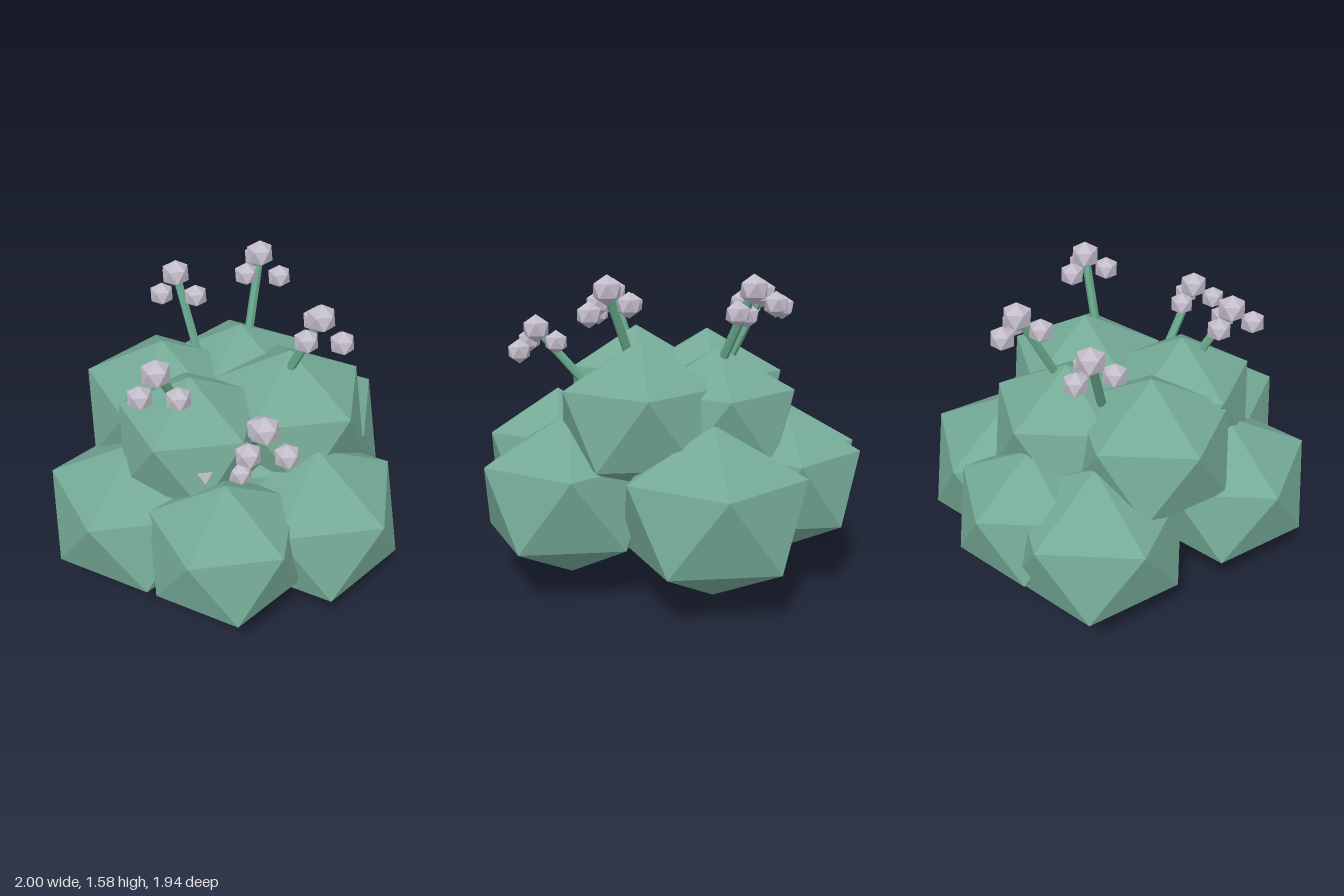
import * as THREE from 'three';
import { ConvexGeometry } from 'three/addons/geometries/ConvexGeometry.js';

// Unit icosahedron standing on one corner, with flat faces
function icosahedron() {
  const points = [new THREE.Vector3(0, 1, 0), new THREE.Vector3(0, -1, 0)];
  const h = 1 / Math.sqrt(5), ring = 2 / Math.sqrt(5);
  for (let i = 0; i < 10; i++) {
    const a = (i * Math.PI) / 5;
    points.push(new THREE.Vector3(ring * Math.cos(a), i % 2 ? -h : h, ring * Math.sin(a)));
  }
  return new ConvexGeometry(points);
}

export function createModel() {
  const leaf = new THREE.MeshStandardMaterial({ name: 'leaf green', color: 0x74a996, flatShading: true });
  const stalk = new THREE.MeshStandardMaterial({ name: 'stem green', color: 0x65a488, flatShading: true });
  const petal = new THREE.MeshStandardMaterial({ name: 'pale lilac', color: 0xc3bdca, flatShading: true });

  const model = new THREE.Group();
  model.name = 'floweringBush';
  const ball = icosahedron();

  function addBall(parent, name, material, x, y, z, r, ry = r) {
    const mesh = new THREE.Mesh(ball, material);
    mesh.name = name;
    mesh.position.set(x, y, z);
    mesh.scale.set(r, ry, r);
    parent.add(mesh);
  }

  // Foliage: x, y, z, horizontal radius, vertical radius
  const foliage = new THREE.Group();
  foliage.name = 'foliage';
  model.add(foliage);
  const core = [[-0.02, 0.53, 0.02, 0.6, 0.52]];
  const lower = [
    [0.567, 0.49, -0.037, 0.483, 0.416],
    [0.45, 0.54, 0.475, 0.418, 0.38],
    [-0.11, 0.49, 0.557, 0.483, 0.41],
    [-0.567, 0.488, -0.07, 0.483, 0.41],
    [-0.457, 0.54, -0.397, 0.418, 0.37],
    [0.02, 0.474, -0.545, 0.5, 0.427],
  ];
  const upper = [
    [0.24, 0.872, -0.18, 0.448, 0.393],
    [-0.297, 0.85, 0.178, 0.448, 0.39],
    [0.055, 0.905, 0.32, 0.4, 0.355],
    [-0.157, 0.85, -0.237, 0.425, 0.365],
  ];
  for (const [name, list] of Object.entries({ coreFoliage: core, lowerFoliage: lower, upperFoliage: upper })) {
    for (const b of list) addBall(foliage, name, leaf, ...b);
  }

  // Flowers: stems fan out from the heart of the bush to these tips
  const base = new THREE.Vector3(0, 0.5, 0);
  const tips = [
    [-0.48, 1.445, -0.09],
    [-0.23, 1.516, -0.45],
    [0.09, 1.41, 0.555],
    [0.413, 1.516, -0.19],
    [0.592, 1.265, 0.375],
    [0.285, 0.975, 0.355],
  ];
  // Small blossoms around each tip
  const blossoms = [[-0.087, -0.068, -0.06], [0.105, -0.105, -0.037], [0.006, -0.075, 0.107]];
  for (const t of tips) {
    const tip = new THREE.Vector3(...t);
    const flower = new THREE.Group();
    flower.name = 'flower';
    const dir = tip.clone().sub(base);
    const stem = new THREE.Mesh(new THREE.CylinderGeometry(0.022, 0.026, dir.length(), 6), stalk);
    stem.name = 'stem';
    stem.position.copy(base).add(tip).multiplyScalar(0.5);
    stem.quaternion.setFromUnitVectors(new THREE.Vector3(0, 1, 0), dir.normalize());
    flower.add(stem);
    addBall(flower, 'topBlossom', petal, ...t, 0.075);
    for (const [x, y, z] of blossoms) addBall(flower, 'sideBlossom', petal, tip.x + x, tip.y + y, tip.z + z, 0.064);
    model.add(flower);
  }
  return model;
}
